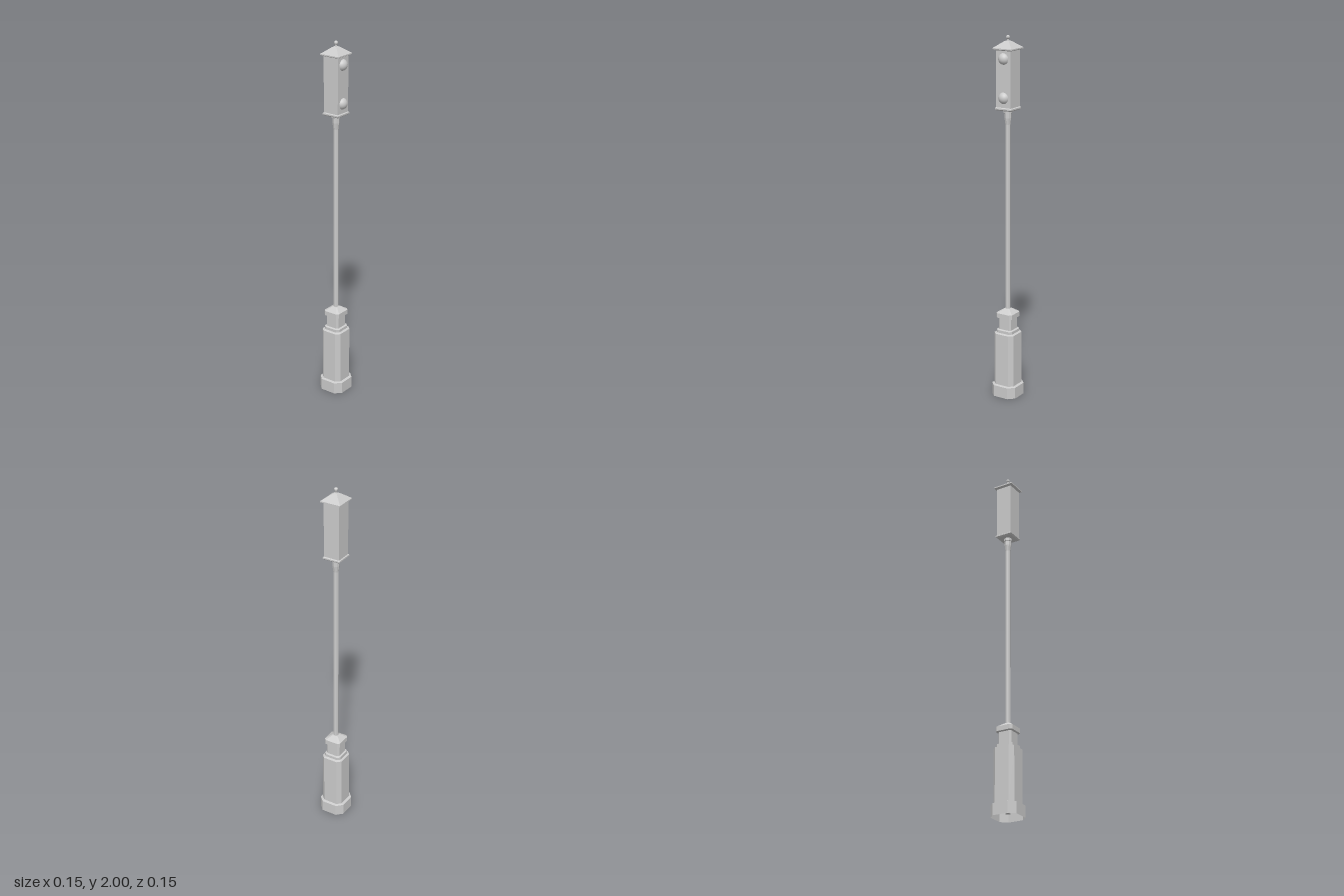
import * as THREE from 'three';

const material = new THREE.MeshStandardMaterial({ color: 0xcccccc, flatShading: true, side: THREE.DoubleSide });
const smooth = new THREE.MeshStandardMaterial({ color: 0xcccccc });

// Corners of a square with half width h, whose corners are cut back by c
function ring([y, h, c]) {
  const k = h - c;
  return [[k, h], [h, k], [h, -k], [k, -h], [-k, -h], [-h, -k], [-h, k], [-k, h]]
    .map(([x, z]) => [x, y, z]);
}

// Skin a stack of chamfered square sections [y, half width, chamfer], bottom to top
function loft(sections, capBottom, capTop) {
  const positions = [];
  const tri = (...corners) => corners.forEach((p) => positions.push(...p));
  const rings = sections.map(ring);
  for (let r = 0; r < rings.length - 1; r++) {
    for (let i = 0; i < 8; i++) {
      const j = (i + 1) % 8, a = rings[r], b = rings[r + 1];
      tri(a[i], a[j], b[j]);
      tri(a[i], b[j], b[i]);
    }
  }
  const top = rings[rings.length - 1], bottom = rings[0];
  for (let i = 1; i < 7; i++) {
    if (capTop) tri(top[0], top[i], top[i + 1]);
    if (capBottom) tri(bottom[0], bottom[i + 1], bottom[i]);
  }
  const geometry = new THREE.BufferGeometry();
  geometry.setAttribute('position', new THREE.Float32BufferAttribute(positions, 3));
  geometry.computeVertexNormals();
  return geometry;
}

// Turned profile of [radius, y] points
function turned(points, sides) {
  return new THREE.LatheGeometry(points.map(([r, y]) => new THREE.Vector2(r, y)), sides);
}

export function createModel() {
  const model = new THREE.Group();
  const add = (name, geometry, mat = material) => {
    const mesh = new THREE.Mesh(geometry, mat);
    mesh.name = name;
    model.add(mesh);
    return mesh;
  };

  // Hollow pedestal: plinth, tall body, neck and sloped cap
  add('pedestal', loft([
    [0, 0.076, 0.032], [0.064, 0.076, 0.032], [0.068, 0.062, 0.021],
    [0.365, 0.062, 0.021], [0.37, 0.05, 0.014], [0.385, 0.05, 0.014],
    [0.389, 0.04, 0.009], [0.452, 0.04, 0.009], [0.456, 0.05, 0.012],
    [0.482, 0.05, 0.012], [0.505, 0.016, 0.005],
  ], false, true));

  // Pole running through the pedestal, flaring under the lamp head
  add('pole', turned([
    [0, 0.02], [0.014, 0.02], [0.014, 1.53], [0.019, 1.565], [0.019, 1.59],
    [0.023, 1.592], [0.023, 1.612], [0, 1.612],
  ], 8));

  // Lamp head: bottom plate, housing and hipped roof
  add('bottomPlate', loft([[1.607, 0.043, 0], [1.613, 0.05, 0], [1.62, 0.05, 0], [1.624, 0.045, 0]], true, true));
  add('housing', loft([[1.615, 0.045, 0], [1.935, 0.045, 0]], true, true));
  add('roof', loft([
    [1.922, 0.046, 0], [1.928, 0.058, 0], [1.934, 0.058, 0], [1.966, 0.016, 0], [1.971, 0.007, 0],
  ], true, true));

  // Finial on the roof
  add('finialStem', new THREE.CylinderGeometry(0.005, 0.006, 0.02, 6)).position.y = 1.976;
  add('finialBall', new THREE.SphereGeometry(0.011, 6, 6)).position.y = 1.989;

  // Two domed lenses on the front
  const dome = new THREE.SphereGeometry(0.032, 20, 8, 0, Math.PI * 2, 0, Math.PI / 2).rotateX(Math.PI / 2);
  for (const [name, y] of [['upperLens', 1.88], ['lowerLens', 1.675]]) {
    add(name, dome, smooth).position.set(0, y, 0.035);
  }
  return model;
}
